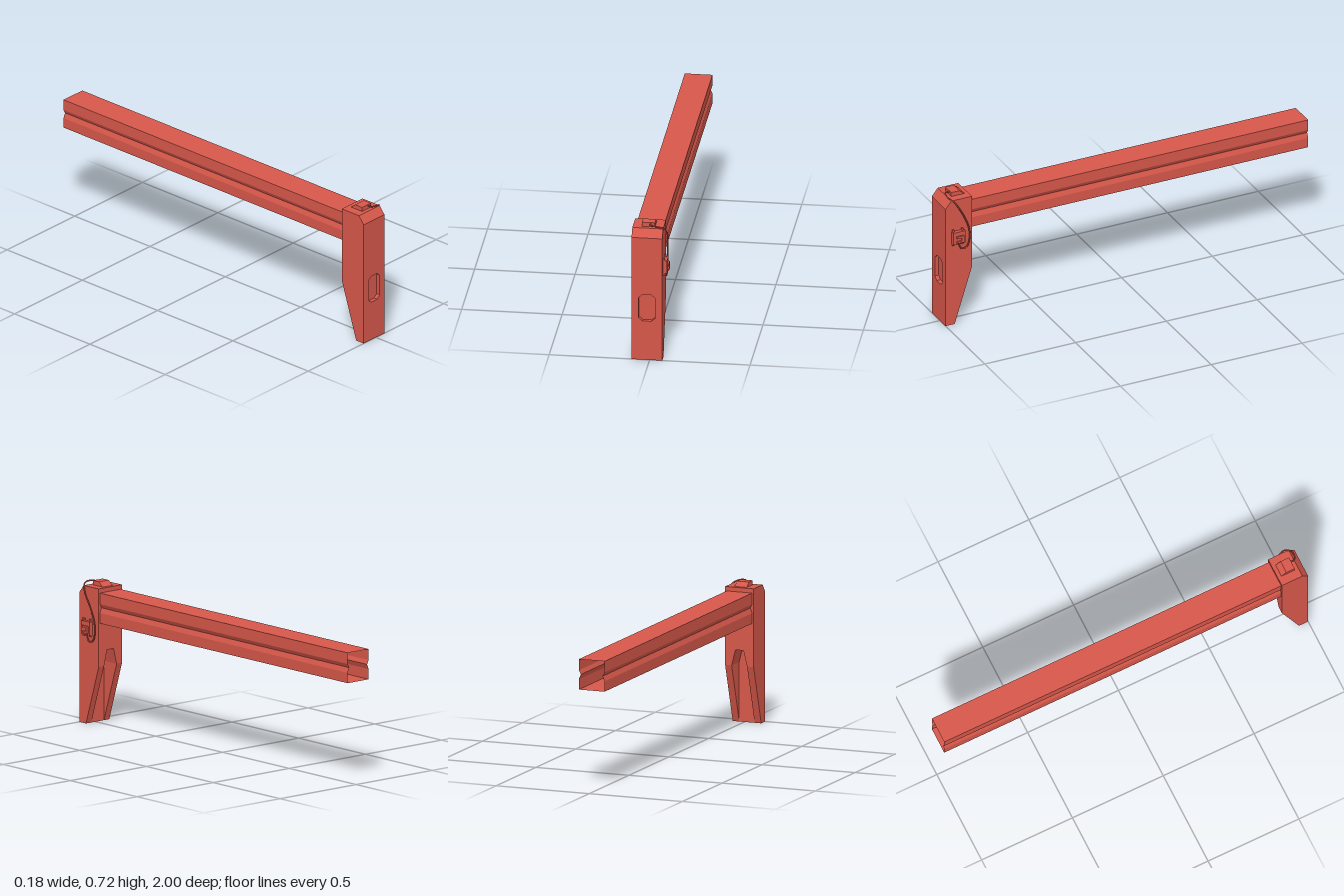
import * as THREE from 'three';
import { mergeGeometries } from 'three/addons/utils/BufferGeometryUtils.js';

const L = -0.09, R = 0.063;          // post sides
const KINK = 0.3, WEB = 0.95;        // where the rear starts to taper, and the plane of the rear pocket floor
const rearZ = y => (y < KINK ? WEB - (WEB - 0.855) * y / KINK : 0.855);

// Flat-shaded band of quads between two matching point lists
function strip(a, b, closed = false) {
  const pos = [], n = a.length;
  for (let i = 0; i < (closed ? n : n - 1); i++) {
    const j = (i + 1) % n;
    pos.push(...a[i], ...a[j], ...b[j], ...a[i], ...b[j], ...b[i]);
  }
  const g = new THREE.BufferGeometry();
  g.setAttribute('position', new THREE.Float32BufferAttribute(pos, 3));
  g.computeVertexNormals();
  return g;
}

// Flat polygon, with optional hole, placed by a mapping (u, v) -> [x, y, z]
function panel(points, map, hole) {
  const toV = p => new THREE.Vector2(p[0], p[1]);
  const shape = new THREE.Shape(points.map(toV));
  if (hole) shape.holes.push(new THREE.Path(hole.map(toV)));
  const g = new THREE.ShapeGeometry(shape).toNonIndexed();
  const p = g.attributes.position;
  for (let i = 0; i < p.count; i++) p.setXYZ(i, ...map(p.getX(i), p.getY(i)));
  g.deleteAttribute('uv');
  g.computeVertexNormals();
  return g;
}

// Side profile (z, y) extruded along x
function extrudeX(profile, x0, x1) {
  const g = new THREE.ExtrudeGeometry(new THREE.Shape(profile.map(([z, y]) => new THREE.Vector2(-z, y))),
    { depth: x1 - x0, bevelEnabled: false });
  return g.rotateY(Math.PI / 2).translate(x0, 0, 0);
}

export function createModel() {
  const model = new THREE.Group();
  model.name = 'postAndBeam';
  const red = new THREE.MeshStandardMaterial({ color: 0xd6574a, side: THREE.DoubleSide });
  red.name = 'red paint';
  const add = (name, geometry, parent = model) => {
    const m = new THREE.Mesh(geometry, red);
    m.name = name;
    parent.add(m);
    return m;
  };

  // Post shell: two side plates joined by the top, front bevel and bottom
  const post = new THREE.Group();
  post.name = 'post';
  model.add(post);
  const profile = [[1, 0], [WEB, 0], [0.855, KINK], [0.855, 0.695], [0.968, 0.695], [1, 0.655]];
  for (const x of [L, R]) add('postSide', panel(profile, (z, y) => [x, y, z]), post);
  const across = (...zy) => strip(zy.map(([z, y]) => [L, y, z]), zy.map(([z, y]) => [R, y, z]));
  add('postTop', across(profile[3], profile[4], profile[5]), post);
  add('postBottom', across(profile[0], profile[1]), post);

  // Front face with a shallow octagonal recess
  const x0 = -0.055, x1 = 0.028, c = 0.02;
  const oct = [[x0 + c, 0.208], [x1 - c, 0.208], [x1, 0.225], [x1, 0.333],
    [x1 - c, 0.35], [x0 + c, 0.35], [x0, 0.333], [x0, 0.225]];
  add('postFront', panel([[L, 0], [R, 0], [R, 0.655], [L, 0.655]], (x, y) => [x, y, 1], oct), post);
  add('frontRecess', mergeGeometries([
    strip(oct.map(p => [...p, 1]), oct.map(p => [...p, 0.98]), true).toNonIndexed(),
    panel(oct, (x, y) => [x, y, 0.98]),
  ]), post);

  // Rear face: notched upper plate and two tapering lower legs beside a pocket
  const arch = [[x0, 0], [x0, KINK], [x0 + c, 0.38], [x1 - c, 0.38], [x1, KINK], [x1, 0]];
  const onRear = (x, y) => [x, y, rearZ(y)];
  add('postRear', panel([[L, KINK], ...arch.slice(1, 5), [R, KINK], [R, 0.695], [L, 0.695]], onRear), post);
  for (const [a, b] of [[L, x0], [x1, R]])
    add('rearLeg', panel([[a, 0], [b, 0], [b, KINK], [a, KINK]], onRear), post);
  add('rearPocketWalls', strip(arch.map(p => onRear(...p)), arch.map(p => [...p, WEB])), post);
  add('rearPocketFloor', panel(arch, (x, y) => [x, y, WEB]), post);

  // Hollow beam, open at the far end, with a V groove along each side
  const mid = -0.0135, half = 0.069;
  const side = [[half, 0.52], [half, 0.572], [half - 0.011, 0.597], [half, 0.617], [half, 0.673]];
  const ring = [...side.map(([x, y]) => [mid + x, y]), ...side.slice().reverse().map(([x, y]) => [mid - x, y])];
  add('beam', strip(ring.map(p => [...p, 0.855]), ring.map(p => [...p, -1]), true));

  // Wedge-backed connector on top
  add('topConnector', extrudeX([[0.948, 0.695], [0.948, 0.717], [0.902, 0.717], [0.875, 0.695]], -0.045, 0.02));

  // Side latch: housing, corner tabs and a C-shaped catch
  const latch = new THREE.Group();
  latch.name = 'sideLatch';
  model.add(latch);
  const box = (name, sx, sy, sz, x, y, z) =>
    add(name, new THREE.BoxGeometry(sx, sy, sz), latch).position.set(x, y, z);
  box('latchHousing', 0.019, 0.067, 0.066, 0.0725, 0.4885, 0.934);
  for (const z of [0.911, 0.96])
    for (const y of [0.45, 0.5275]) box('latchTab', 0.009, 0.011, 0.01, 0.0675, y, z);
  add('latchCatch', extrudeX([[0.95, 0.463], [0.95, 0.473], [0.922, 0.473], [0.922, 0.489],
    [0.95, 0.489], [0.95, 0.5], [0.91, 0.5], [0.91, 0.463]], 0.082, 0.09), latch);

  // Cable from the connector, over the edge and round under the latch
  const path = [[0, 0.711, 0.94], [0, 0.712, 0.97], [0.04, 0.708, 0.978], [0.07, 0.69, 0.957],
    [0.08, 0.655, 0.935], [0.077, 0.6, 0.905], [0.074, 0.525, 0.876], [0.073, 0.46, 0.874],
    [0.073, 0.425, 0.89], [0.073, 0.422, 0.918], [0.073, 0.455, 0.934]];
  const curve = new THREE.CatmullRomCurve3(path.map(p => new THREE.Vector3(...p)));
  add('cable', new THREE.TubeGeometry(curve, 40, 0.0038, 6));

  return model;
}
